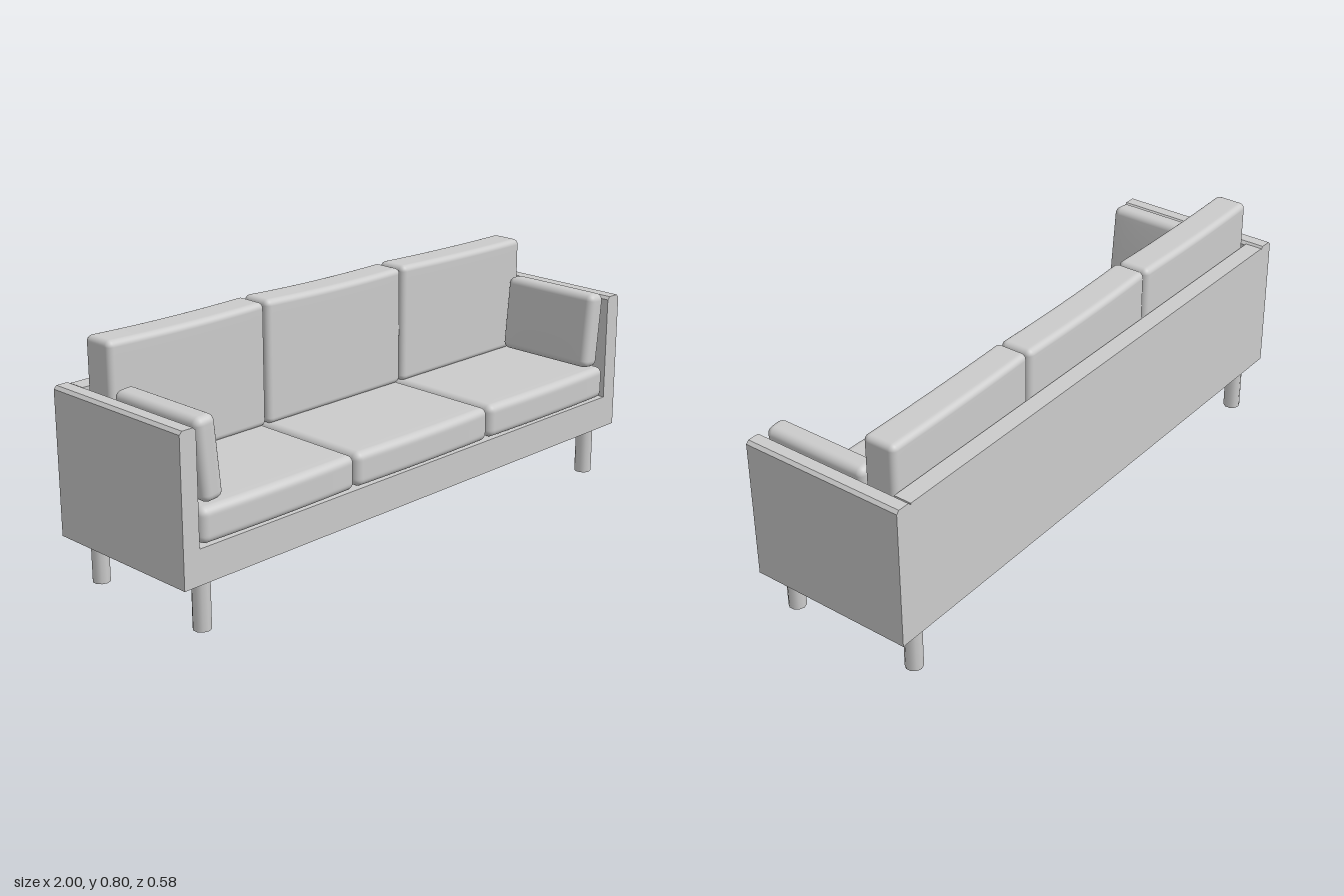
import * as THREE from 'three';
import { mergeVertices } from 'three/addons/utils/BufferGeometryUtils.js';

const material = new THREE.MeshStandardMaterial({ color: 0xcccccc });
const BACK = -0.293, FRONT = 0.281, FLOOR = 0.165, TOP = 0.645;

function add(parent, name, geometry, x = 0, y = 0, z = 0) {
  const mesh = new THREE.Mesh(geometry, material);
  mesh.name = name;
  mesh.position.set(x, y, z);
  parent.add(mesh);
  return mesh;
}

// Box with sharp edges given by its limits
function addBox(parent, name, x0, x1, y0, y1, z0, z1) {
  return add(parent, name, new THREE.BoxGeometry(x1 - x0, y1 - y0, z1 - z0),
    (x0 + x1) / 2, (y0 + y1) / 2, (z0 + z1) / 2);
}

// Smooth cushion: a box whose edges are rounded, then shaped by a rule
function cushion(w, h, d, r, shape) {
  const geo = new THREE.BoxGeometry(2, 2, 2, 20, 20, 20);
  geo.deleteAttribute('normal');
  geo.deleteAttribute('uv');
  const merged = mergeVertices(geo);
  const pos = merged.attributes.position;
  const half = new THREE.Vector3(w / 2, h / 2, d / 2);
  const p = new THREE.Vector3(), inner = new THREE.Vector3();
  // Half of the rows lie in the rounded edge, half on the flat face
  const spread = (u, s) => {
    const a = Math.abs(u), flat = s - r;
    return Math.sign(u) * (a < 0.6 ? flat * a / 0.6 : flat + r * Math.tan((a - 0.6) / 0.4 * Math.PI / 4));
  };
  for (let i = 0; i < pos.count; i++) {
    p.fromBufferAttribute(pos, i);
    p.set(spread(p.x, half.x), spread(p.y, half.y), spread(p.z, half.z));
    inner.set(
      THREE.MathUtils.clamp(p.x, r - half.x, half.x - r),
      THREE.MathUtils.clamp(p.y, r - half.y, half.y - r),
      THREE.MathUtils.clamp(p.z, r - half.z, half.z - r));
    p.sub(inner).setLength(r).add(inner);
    if (shape) shape(p, half);
    pos.setXYZ(i, p.x, p.y, p.z);
  }
  merged.computeVertexNormals();
  return merged;
}

export function createModel() {
  const sofa = new THREE.Group();
  sofa.name = 'sofa';

  // Frame
  addBox(sofa, 'base', -0.94, 0.94, FLOOR, 0.278, BACK, FRONT);
  addBox(sofa, 'backPanel', -0.94, 0.94, 0.278, TOP - 0.005, BACK, -0.232);

  // Arms with a small chamfer along the top edges
  const c = 0.01;
  const profile = new THREE.Shape([
    [-0.03, FLOOR], [0.03, FLOOR], [0.03, TOP - c], [0.03 - c, TOP],
    [c - 0.03, TOP], [-0.03, TOP - c],
  ].map(([x, y]) => new THREE.Vector2(x, y)));
  const armGeo = new THREE.ExtrudeGeometry(profile, { depth: FRONT - BACK, bevelEnabled: false });

  // Loose pillow leaning outward against each arm
  const pillowGeo = cushion(0.074, 0.262, 0.378, 0.024, (p, h) => {
    p.x *= 1 + 0.08 * (1 - (p.y / h.y) ** 2) * (1 - (p.z / h.z) ** 2);
  });
  const legGeo = new THREE.CylinderGeometry(0.029, 0.029, FLOOR, 10);

  for (const [side, s] of [['left', 1], ['right', -1]]) {
    add(sofa, side + 'Arm', armGeo, s * 0.97, 0, BACK);
    const pillow = add(sofa, side + 'ArmPillow', pillowGeo, s * 0.882, 0.531, 0.085);
    pillow.rotation.z = -s * 0.1;
    add(sofa, side + 'FrontLeg', legGeo, s * 0.9, FLOOR / 2, 0.233);
    add(sofa, side + 'BackLeg', legGeo, s * 0.9, FLOOR / 2, -0.242);
  }

  // Three seat cushions with a gently bulging front edge
  const seatGeo = cushion(0.616, 0.113, 0.508, 0.025, (p, h) => {
    const forward = Math.max(0, p.z / h.z) ** 4;
    p.z += 0.007 * forward * (1 - (p.x / h.x) ** 2);
  });

  // Back cushions: heights of the top edge at the right, middle and left
  const tops = [[0.803, 0.796, 0.8], [0.803, 0.793, 0.795], [0.798, 0.79, 0.789]];
  tops.forEach(([a, m, b], i) => {
    const x = (i - 1) * 0.622;
    add(sofa, 'seatCushion' + (i + 1), seatGeo, x, 0.338, 0.03);
    const geo = cushion(0.614, 0.405, 0.115, 0.02, (p, h) => {
      const u = p.x / h.x, lift = (p.y / h.y + 1) / 2;
      const top = m + u * (b - a) / 2 + u * u * ((a + b) / 2 - m);
      p.y += (top - 0.795) * lift;
    });
    add(sofa, 'backCushion' + (i + 1), geo, x, 0.5925, -0.1695);
  });

  return sofa;
}
